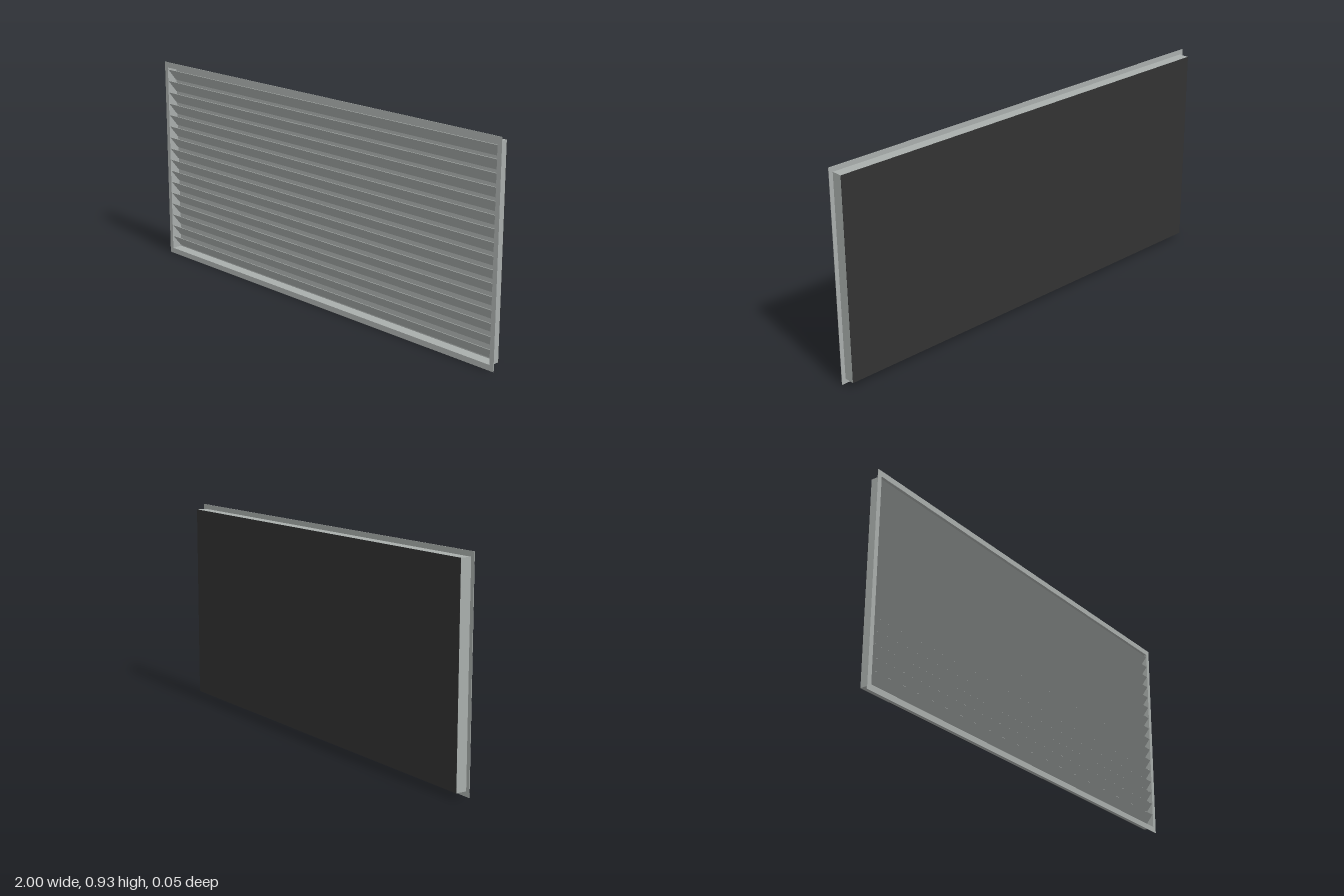
import * as THREE from 'three';

const grey = new THREE.MeshStandardMaterial({ color: 0xa9aeac });
grey.name = 'satin grey metal';
const black = new THREE.MeshStandardMaterial({ color: 0x323232 });
black.name = 'black backing';

const HEIGHT = 0.926, MID = HEIGHT / 2;
const FRONT = 0.025, BACK = -0.025;
const BOX_W = 1.964, BOX_H = 0.883;

// Rectangular ring extruded along z between two depths
function ring(name, w, h, innerW, innerH, z0, z1) {
  const rect = (Type, a, b) => {
    const p = new Type();
    p.moveTo(-a / 2, -b / 2);
    p.lineTo(a / 2, -b / 2);
    p.lineTo(a / 2, b / 2);
    p.lineTo(-a / 2, b / 2);
    p.closePath();
    return p;
  };
  const shape = rect(THREE.Shape, w, h);
  shape.holes.push(rect(THREE.Path, innerW, innerH));
  const geo = new THREE.ExtrudeGeometry(shape, { depth: z1 - z0, bevelEnabled: false });
  const mesh = new THREE.Mesh(geo, grey);
  mesh.name = name;
  mesh.position.set(0, MID, z0);
  return mesh;
}

function plate(name, w, h, z0, z1, material) {
  const mesh = new THREE.Mesh(new THREE.BoxGeometry(w, h, z1 - z0), material);
  mesh.name = name;
  mesh.position.set(0, MID, (z0 + z1) / 2);
  return mesh;
}

export function createModel() {
  const model = new THREE.Group();
  model.name = 'louvredVent';

  // Thin front flange and the shallow duct collar behind it
  const innerW = BOX_W - 0.006, innerH = BOX_H - 0.006;
  model.add(ring('frontFlange', 2, HEIGHT, innerW, innerH, FRONT - 0.002, FRONT));
  model.add(ring('collar', BOX_W, BOX_H, innerW, innerH, BACK + 0.001, FRONT - 0.002));

  // Grey inner liner with a black sheet on the rear
  model.add(plate('innerLiner', innerW, innerH, BACK + 0.001, BACK + 0.002, grey));
  model.add(plate('backPanel', BOX_W, BOX_H, BACK, BACK + 0.001, black));

  // Slanted blades: front edge high, rear edge low
  const louvres = new THREE.Group();
  louvres.name = 'louvres';
  const count = 16, top = 0.892, pitch = 0.0538;
  const zFront = 0.022, zRear = -0.021;
  const run = zFront - zRear;
  const bladeGeo = new THREE.BoxGeometry(innerW, 0.002, Math.hypot(run, pitch));
  for (let i = 0; i < count; i++) {
    const blade = new THREE.Mesh(bladeGeo, grey);
    blade.name = 'louvreBlade' + (i + 1);
    blade.position.set(0, top - (i + 0.5) * pitch, (zFront + zRear) / 2);
    blade.rotation.x = -Math.atan2(pitch, run);
    louvres.add(blade);
  }
  model.add(louvres);
  return model;
}
